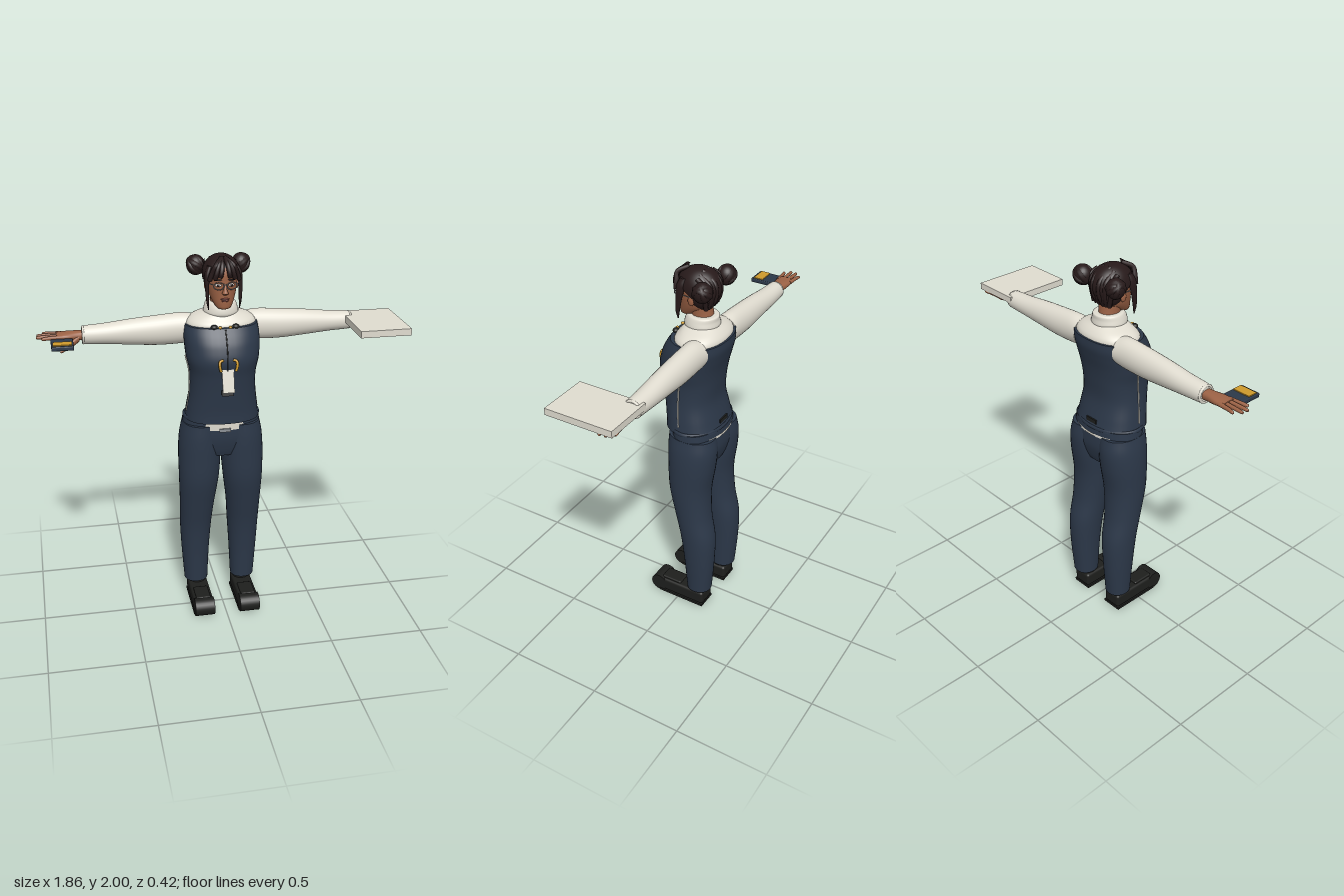
import * as THREE from 'three';
import { RoundedBoxGeometry } from 'three/addons/geometries/RoundedBoxGeometry.js';

const mat = (name, color) => Object.assign(new THREE.MeshStandardMaterial({ color }), { name });
const V = (p) => new THREE.Vector3(...p);

// Smooth skin through sections [along, c1, c2, r1, r2]; axis is 'y', or 'x' with side +1 / -1
function loft(sections, { n = 32, power = 2, steps = 6, axis = 'y', side = 1 } = {}) {
  const centre = new THREE.CatmullRomCurve3(sections.map((s) => V([s[0], s[1], s[2]])), false, 'catmullrom');
  const radius = new THREE.CatmullRomCurve3(sections.map((s) => V([s[3], s[4], 0])), false, 'catmullrom');
  const rows = (sections.length - 1) * steps;
  const pos = [], idx = [];
  const put = (u, a, b) => (axis === 'y' ? pos.push(a, u, b) : pos.push(u * side, a, b));
  const flip = axis === 'x' && side === 1;
  const tri = (a, b, c) => (flip ? idx.push(a, c, b) : idx.push(a, b, c));
  const ring = (i) => {
    const c = centre.getPoint(i / rows), r = radius.getPoint(i / rows);
    for (let j = 0; j < n; j++) {
      const t = (j / n) * Math.PI * 2;
      const f = (v) => Math.sign(v) * Math.abs(v) ** (2 / power);
      put(c.x, c.y + r.x * f(Math.cos(t)), c.z + r.y * f(Math.sin(t)));
    }
    return c;
  };
  for (let i = 0; i <= rows; i++) ring(i);
  for (let i = 0; i < rows; i++) for (let j = 0; j < n; j++) {
    const a = i * n + j, b = i * n + ((j + 1) % n);
    tri(a, a + n, b);
    tri(b, a + n, b + n);
  }
  // separate rings for the end caps keep their edges sharp
  for (const end of [0, rows]) {
    const base = pos.length / 3, c = ring(end);
    put(c.x, c.y, c.z);
    for (let j = 0; j < n; j++) {
      const a = base + j, b = base + ((j + 1) % n);
      end ? tri(base + n, b, a) : tri(base + n, a, b);
    }
  }
  const g = new THREE.BufferGeometry();
  g.setAttribute('position', new THREE.Float32BufferAttribute(pos, 3));
  g.setIndex(idx);
  g.computeVertexNormals();
  return g;
}

const tube = (pts, r, seg = 16) => new THREE.TubeGeometry(new THREE.CatmullRomCurve3(pts.map(V)), seg, r, 8);
const ball = (rx, ry, rz) => new THREE.SphereGeometry(1, 24, 16).scale(rx, ry, rz);
const box = (x, y, z) => new THREE.BoxGeometry(x, y, z);
const rounded = (x, y, z, r) => new RoundedBoxGeometry(x, y, z, 3, r);

export function createModel() {
  const model = new THREE.Group();
  model.name = 'figure';
  const navy = mat('navy cloth', 0x2c3849), white = mat('off white', 0xe0dcd0), hair = mat('dark brown hair', 0x271a1a);
  const skin = mat('skin', 0x9c6245), black = mat('black', 0x1e1f1d), gold = mat('gold', 0xcf9a2c);
  const grey = mat('grey metal', 0x8d9196), lips = mat('lips', 0x83443a), eyeWhite = mat('eye white', 0xd8d4d0);
  const sheet = mat('white hem', 0xdfdbcf);
  sheet.side = THREE.DoubleSide;
  const add = (name, geo, m, p = [0, 0, 0], r = [0, 0, 0]) => {
    const mesh = new THREE.Mesh(geo, m);
    mesh.name = name;
    mesh.position.set(...p);
    mesh.rotation.set(...r);
    model.add(mesh);
    return mesh;
  };

  // Vest, shirt yoke and collar
  add('vest', loft([
    [1.14, 0, -0.037, 0.194, 0.148], [1.2, 0, -0.028, 0.186, 0.142], [1.3, 0, -0.012, 0.172, 0.138],
    [1.4, 0, -0.008, 0.171, 0.148], [1.48, 0, -0.007, 0.186, 0.16], [1.55, 0, -0.023, 0.192, 0.161],
    [1.6, 0, -0.04, 0.193, 0.155], [1.645, 0, -0.055, 0.186, 0.14]], { power: 2.4, n: 40 }), navy);
  add('shirtYoke', loft([
    [1.6, 0, -0.058, 0.18, 0.125], [1.65, 0, -0.06, 0.18, 0.125], [1.68, 0, -0.062, 0.15, 0.105],
    [1.705, 0, -0.055, 0.09, 0.082], [1.72, 0, -0.05, 0.07, 0.07]], { power: 2.2 }), white);
  add('collar', loft([
    [1.69, 0, -0.05, 0.085, 0.085], [1.705, 0, -0.05, 0.09, 0.09], [1.73, 0, -0.05, 0.084, 0.086],
    [1.75, 0, -0.055, 0.076, 0.08], [1.755, 0, -0.055, 0.066, 0.07]]), white, [0, 0, 0]);
  add('frontZip', tube([[0, 1.64, 0.088], [0, 1.6, 0.115], [0, 1.55, 0.138], [0, 1.48, 0.153], [0, 1.4, 0.14]], 0.003), black);
  for (const s of [-1, 1]) {
    add('sideSeam', tube([[s * 0.188, 1.18, -0.02], [s * 0.173, 1.29, -0.01], [s * 0.172, 1.4, -0.015], [s * 0.187, 1.48, -0.03]], 0.004), white);
    add('collarClip', ball(0.018, 0.013, 0.016), black, [s * 0.055, 1.65, 0.07]);
    add('collarStud', ball(0.009, 0.007, 0.009), gold, [s * 0.026, 1.65, 0.08]);
  }
  add('backStrap', box(0.07, 0.022, 0.008), black, [0, 1.18, -0.176]);

  // Badge hanging from two clips
  for (const s of [-1, 1]) {
    add('badgeClip', tube([[s * 0.026, 1.505, 0.156], [s * 0.042, 1.5, 0.163], [s * 0.044, 1.475, 0.17], [s * 0.038, 1.45, 0.168]], 0.007), gold);
  }
  add('badge', box(0.06, 0.12, 0.007), white, [0, 1.395, 0.16], [-0.25, 0, 0]);
  add('badgeEnd', box(0.06, 0.03, 0.008), black, [0, 1.323, 0.142], [-0.25, 0, 0]);

  // Trousers
  add('hips', loft([
    [0.93, 0, -0.06, 0.13, 0.1], [0.97, 0, -0.06, 0.19, 0.113], [1.03, 0, -0.06, 0.212, 0.125],
    [1.1, 0, -0.058, 0.205, 0.126], [1.15, 0, -0.055, 0.202, 0.125]], { power: 2.3, n: 40 }), navy);
  for (const [y, h, start, len] of [[1.11, 0.045, -0.5, 1], [1.108, 0.014, Math.PI - 0.9, 1.8]]) {
    add('shirtHem', new THREE.CylinderGeometry(1, 1, h, 32, 1, true, start, len).scale(0.21, 1, 0.131), sheet, [0, y, -0.058]);
  }
  add('waistband', new THREE.TorusGeometry(1, 0.04, 8, 48).rotateX(Math.PI / 2).scale(0.197, 0.3, 0.138), navy, [0, 1.147, -0.045]);
  add('buckle', box(0.06, 0.018, 0.008), grey, [0, 1.09, 0.077]);

  for (const s of [-1, 1]) {
    add('trouserLeg', loft([
      [0.11, s * 0.133, -0.118, 0.065, 0.068], [0.3, s * 0.135, -0.118, 0.076, 0.083], [0.47, s * 0.133, -0.108, 0.086, 0.095],
      [0.62, s * 0.128, -0.077, 0.094, 0.098], [0.78, s * 0.12, -0.055, 0.107, 0.112], [0.93, s * 0.115, -0.06, 0.113, 0.127],
      [1.03, s * 0.112, -0.062, 0.109, 0.132], [1.11, s * 0.105, -0.058, 0.1, 0.126]], { power: 2.15 }), navy);

    // Shoes
    const x = s * 0.126;
    add('ankle', new THREE.CylinderGeometry(0.042, 0.045, 0.06, 20), black, [x, 0.1, -0.11]);
    add('shoeBody', rounded(0.108, 0.078, 0.29, 0.015), black, [x, 0.053, -0.016]);
    add('shoeToe', new THREE.CylinderGeometry(0.049, 0.049, 0.108, 28).rotateZ(Math.PI / 2), black, [x, 0.052, 0.124]);
    add('shoeSole', box(0.112, 0.014, 0.28), black, [x, 0.008, -0.02]);
    add('shoeTongue', rounded(0.08, 0.02, 0.12, 0.008), black, [x, 0.092, 0.05]);

    // Sleeves
    add('sleeve', loft([
      [0.14, 1.608, -0.095, 0.072, 0.068], [0.2, 1.606, -0.097, 0.08, 0.063], [0.32, 1.601, -0.097, 0.077, 0.062],
      [0.45, 1.6, -0.098, 0.067, 0.058], [0.58, 1.598, -0.1, 0.054, 0.053], [0.68, 1.597, -0.1, 0.048, 0.048],
      [0.7, 1.597, -0.1, 0.043, 0.043]], { axis: 'x', side: s }), white);
    add('cuff', new THREE.TorusGeometry(0.041, 0.007, 8, 28).rotateY(Math.PI / 2), white, [s * 0.696, 1.597, -0.1]);

    // Hands, with the plate-carrying one a little lower
    const dy = s > 0 ? -0.013 : 0;
    add('palm', loft([
      [0.68, 1.597, -0.1, 0.024, 0.03], [0.73, 1.598, -0.098, 0.023, 0.034], [0.78, 1.6 + dy, -0.096, 0.019, 0.043],
      [0.83, 1.603 + dy, -0.096, 0.012, 0.041]], { axis: 'x', side: s, power: 2.4, n: 20 }), skin);
    [[-0.13, 0.9], [-0.107, 0.927], [-0.084, 0.93], [-0.062, 0.905]].forEach(([z, tip], i) => {
      const spread = (i - 1.5) * 0.004;
      add('finger', loft([
        [0.8, 1.602 + dy, z, 0.011, 0.011], [0.86, 1.603 + dy, z + spread, 0.01, 0.0095],
        [tip - 0.008, 1.602 + dy, z + spread * 2, 0.008, 0.008], [tip, 1.601 + dy, z + spread * 2, 0.002, 0.002]],
      { axis: 'x', side: s, n: 12, steps: 4 }), skin);
    });
    add('thumb', loft([
      [0.715, 1.59, -0.085, 0.02, 0.02], [0.75, 1.57, -0.06, 0.017, 0.017], [0.785, 1.552, -0.036, 0.011, 0.011],
      [0.81, 1.541, -0.024, 0.008, 0.008], [0.817, 1.539, -0.021, 0.001, 0.001]], { axis: 'x', side: s, n: 14 }), skin);
  }

  // Hand-held objects
  add('plate', box(0.265, 0.035, 0.36), white, [0.798, 1.612, 0.03]);
  add('device', rounded(0.11, 0.022, 0.13, 0.005), navy, [-0.805, 1.589, 0.015]);
  add('deviceScreen', box(0.094, 0.006, 0.052), gold, [-0.805, 1.602, 0.04]);

  // Head and face
  add('neck', loft([[1.69, 0, -0.052, 0.058, 0.062], [1.75, 0, -0.05, 0.052, 0.057], [1.82, 0, -0.04, 0.055, 0.06]]), skin);
  add('head', loft([
    [1.734, 0, 0.035, 0.012, 0.012], [1.742, 0, 0.03, 0.034, 0.036], [1.765, 0, 0.012, 0.05, 0.058], [1.8, 0, -0.014, 0.065, 0.084],
    [1.84, 0, -0.022, 0.074, 0.092], [1.88, 0, -0.026, 0.078, 0.096], [1.92, 0, -0.028, 0.079, 0.096],
    [1.96, 0, -0.03, 0.066, 0.08], [1.985, 0, -0.03, 0.03, 0.035]], { power: 2.1 }), skin);
  add('nose', loft([[1.815, 0, 0.074, 0.01, 0.006], [1.824, 0, 0.078, 0.016, 0.018], [1.84, 0, 0.076, 0.01, 0.014], [1.87, 0, 0.068, 0.007, 0.008]], { n: 16 }), skin);
  add('upperLip', ball(0.023, 0.005, 0.008), lips, [0, 1.793, 0.071]);
  add('lowerLip', ball(0.019, 0.006, 0.008), lips, [0, 1.784, 0.069]);
  add('glassesBridge', box(0.014, 0.004, 0.004), grey, [0, 1.868, 0.084]);
  for (const s of [-1, 1]) {
    add('eye', ball(0.016, 0.008, 0.008), eyeWhite, [s * 0.033, 1.862, 0.062], [0, s * 0.3, 0]);
    add('iris', ball(0.007, 0.007, 0.004), hair, [s * 0.033, 1.862, 0.069]);
    add('eyebrow', ball(0.02, 0.004, 0.005), hair, [s * 0.034, 1.888, 0.063], [0, s * 0.35, s * -0.1]);
    add('glassesRim', new THREE.TorusGeometry(0.022, 0.0025, 8, 28).scale(1.15, 0.85, 1), grey, [s * 0.033, 1.862, 0.08], [0, s * 0.2, 0]);
    add('glassesArm', tube([[s * 0.058, 1.868, 0.073], [s * 0.08, 1.868, 0.03], [s * 0.084, 1.865, -0.03]], 0.0025), grey);
    add('ear', ball(0.01, 0.027, 0.017), skin, [s * 0.078, 1.845, -0.03]);
  }

  // Hair: tilted cap, parted fringe, side locks and buns wound with strands
  add('hairCap', new THREE.SphereGeometry(1, 36, 24, 0, Math.PI * 2, 0, Math.PI * 0.56).rotateX(-0.72).scale(0.096, 0.1, 0.115), hair, [0, 1.897, -0.033]);
  add('hairBack', ball(0.086, 0.085, 0.078), hair, [0, 1.868, -0.06]);
  for (const s of [-1, 1]) {
    [[0.02, 1.905, 0.083], [0.042, 1.895, 0.077], [0.062, 1.885, 0.062]].forEach(([x, y, z]) => {
      add('fringe', tube([[s * 0.008, 1.988, 0.02], [s * x * 0.7, 1.962, 0.066], [s * x, 1.925, z], [s * x * 1.2, y, z - 0.006]], 0.012), hair);
    });
    add('sideLock', loft([
      [1.735, s * 0.078, 0.042, 0.002, 0.003], [1.78, s * 0.082, 0.042, 0.007, 0.012], [1.85, s * 0.084, 0.034, 0.01, 0.018],
      [1.91, s * 0.08, 0.025, 0.014, 0.024], [1.95, s * 0.066, 0.015, 0.014, 0.02]], { n: 14 }), hair);
    for (const k of [0, 1, 2]) {
      add('backStrand', tube([[s * (0.02 + k * 0.024), 1.985 - k * 0.012, -0.06], [s * (0.022 + k * 0.028), 1.93, -0.132 + k * 0.014],
        [s * (0.02 + k * 0.024), 1.86, -0.133 + k * 0.015], [s * (0.014 + k * 0.02), 1.805, -0.1]], 0.012), hair);
    }
    add('bun', ball(0.047, 0.052, 0.048), hair, [s * 0.116, 1.925, -0.115]);
    for (const a of [0.3, 1.35, 2.4]) {
      add('bunStrand', new THREE.TorusGeometry(0.037, 0.016, 8, 24), hair, [s * 0.116, 1.925, -0.115], [a, s * 0.6, a * 0.7]);
    }
  }
  return model;
}
